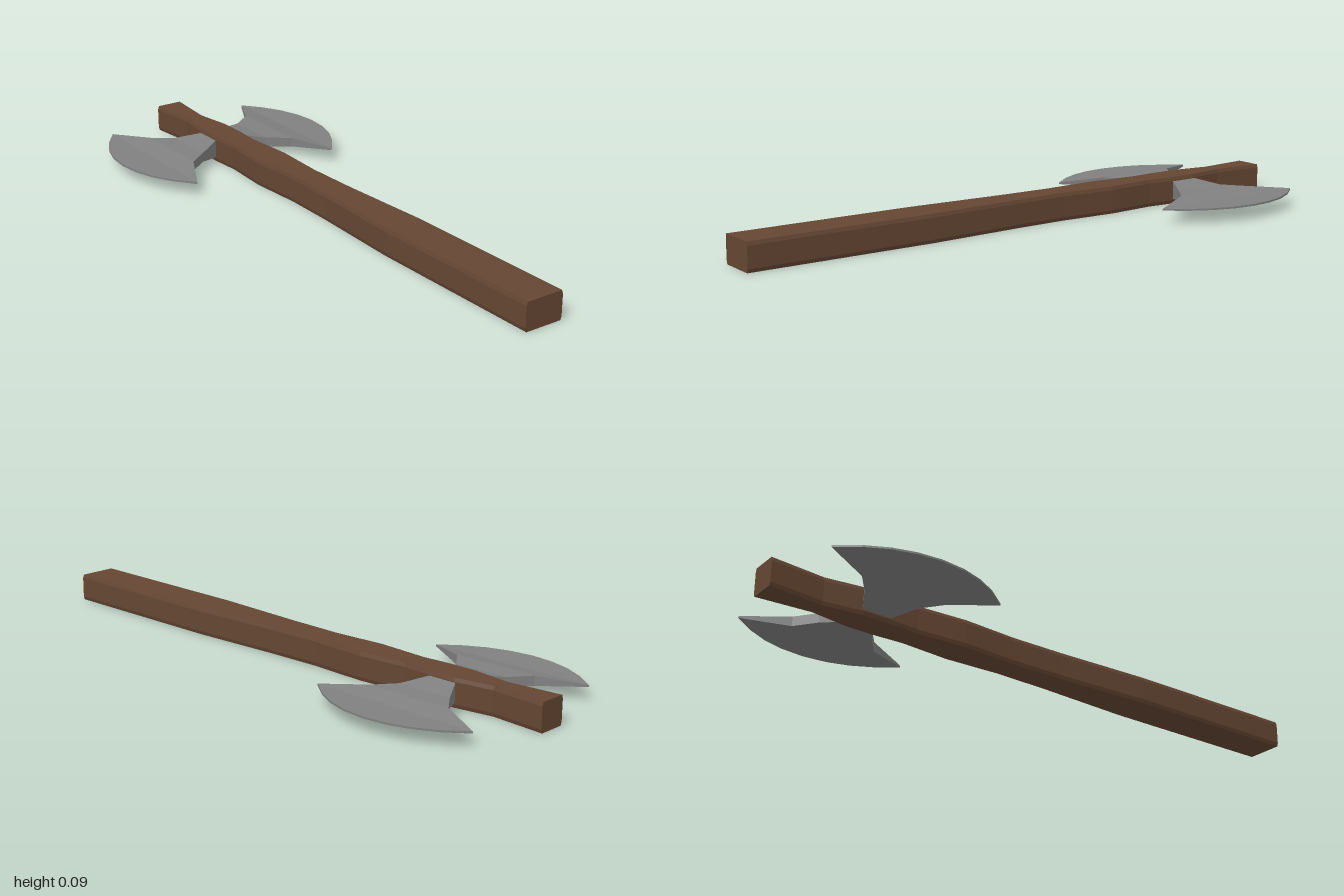
import * as THREE from 'three';

// Skin a row of equal-length, convex rings (counter-clockwise seen from the end side) and cap both ends.
function loft(rings) {
  const pos = [];
  const tri = (a, b, c) => pos.push(...a, ...b, ...c);
  const n = rings[0].length;
  for (let i = 0; i < rings.length - 1; i++) {
    const r = rings[i], s = rings[i + 1];
    for (let j = 0; j < n; j++) {
      const k = (j + 1) % n;
      tri(r[j], r[k], s[k]);
      tri(r[j], s[k], s[j]);
    }
  }
  const first = rings[0], last = rings[rings.length - 1];
  for (let j = 1; j < n - 1; j++) {
    tri(first[0], first[j + 1], first[j]);
    tri(last[0], last[j], last[j + 1]);
  }
  const geo = new THREE.BufferGeometry();
  geo.setAttribute('position', new THREE.Float32BufferAttribute(pos, 3));
  geo.computeVertexNormals();
  return geo;
}

export function createModel() {
  const group = new THREE.Group();
  const wood = new THREE.MeshStandardMaterial({ color: 0x644632, flatShading: true });
  wood.name = 'brown wood';
  const steel = new THREE.MeshStandardMaterial({ color: 0x808080, flatShading: true });
  steel.name = 'grey steel';
  const midY = 0.046;

  // Handle: bevelled bar, [z, half width] from head end to butt
  const handleProfile = [
    [-1, 0.048], [-0.82, 0.032], [-0.69, 0.051], [-0.6, 0.051], [-0.5, 0.045],
    [-0.33, 0.057], [-0.14, 0.047], [0.05, 0.051], [0.38, 0.067], [1, 0.067],
  ];
  const handle = new THREE.Mesh(loft(handleProfile.map(([z, w]) => {
    const t = w - 0.004, h = 0.046, s = 0.034;
    return [[w, -s], [w, s], [t, h], [-t, h], [-w, s], [-w, -s], [-t, -h], [t, -h]]
      .map(([x, y]) => [x, y + midY, z]);
  })), wood);
  handle.name = 'handle';
  group.add(handle);

  // Blades: [x, half length along z, half thickness] from root to cutting edge
  const bladeProfile = [
    [0.03, 0.04, 0.034], [0.05, 0.048, 0.031], [0.13, 0.093, 0.016], [0.2, 0.145, 0.016],
    [0.272, 0.288, 0.003], [0.324, 0.22, 0.003], [0.36, 0.152, 0.003],
    [0.382, 0.08, 0.003], [0.39, 0.004, 0.003],
  ];
  const bladeGeo = loft(bladeProfile.map(([x, l, t]) =>
    [[-t, l], [-t, -l], [t, -l], [t, l]].map(([y, z]) => [x, y, z])));
  for (const side of [1, -1]) {
    const blade = new THREE.Mesh(bladeGeo, steel);
    blade.name = side > 0 ? 'leftBlade' : 'rightBlade';
    blade.position.set(0, midY + 0.001, -0.648);
    blade.rotation.y = side > 0 ? 0 : Math.PI;
    group.add(blade);
  }
  return group;
}
